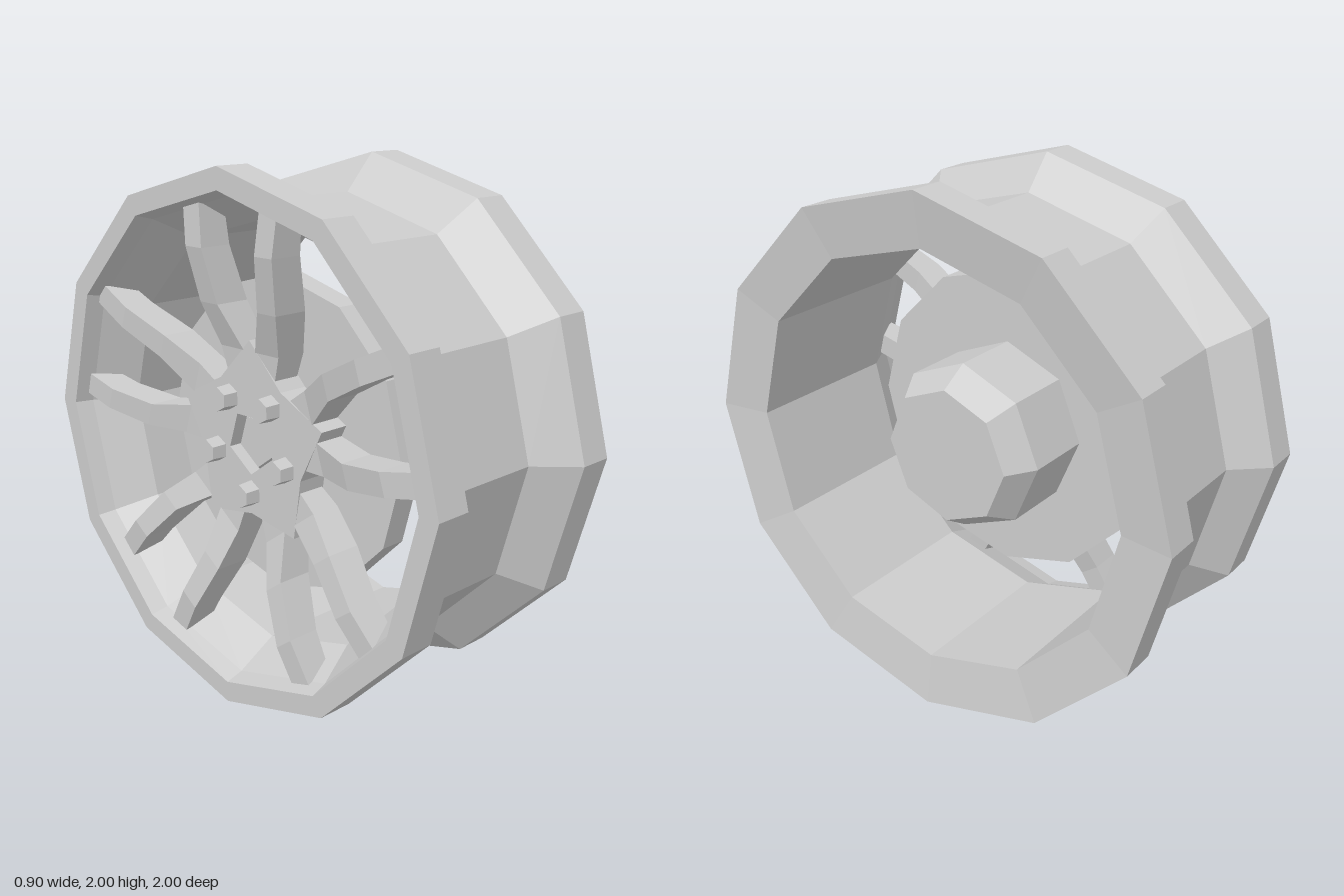
import * as THREE from 'three';

const mat = new THREE.MeshStandardMaterial({ color: 0xcccccc, flatShading: true });

function add(parent, name, geometry) {
  const mesh = new THREE.Mesh(geometry, mat);
  mesh.name = name;
  parent.add(mesh);
  return mesh;
}

// Revolve [x, radius] points around the x axis
function revolve(points, sides) {
  const geo = new THREE.LatheGeometry(points.map(([x, r]) => new THREE.Vector2(r, x)), sides);
  return geo.rotateZ(-Math.PI / 2);
}

// One arm of a forked spoke, lofted outward along +y; front is +z.
// Sections: [sideways offset, radius, front z, depth, half width]
function spokeGeometry(side) {
  const sections = [
    [0.05, 0.20, 0.305, 0.10, 0.06],
    [0.09, 0.34, 0.315, 0.12, 0.06],
    [0.15, 0.50, 0.37, 0.14, 0.046],
    [0.18, 0.70, 0.41, 0.13, 0.043],
    [0.20, 0.875, 0.40, 0.11, 0.043],
  ];
  const pos = [], idx = [];
  sections.forEach(([t, r, f, d, w], i) => {
    const c = t * side;
    pos.push(c - w, r, f - d, c + w, r, f - d, c + w, r, f, c - w, r, f);
    if (i === 0) return;
    for (let j = 0; j < 4; j++) {
      const a = (i - 1) * 4 + j, b = (i - 1) * 4 + (j + 1) % 4;
      idx.push(a, a + 4, b + 4, a, b + 4, b);
    }
  });
  const geo = new THREE.BufferGeometry();
  geo.setAttribute('position', new THREE.Float32BufferAttribute(pos, 3));
  geo.setIndex(idx);
  geo.computeVertexNormals();
  return geo;
}

export function createModel() {
  const wheel = new THREE.Group();
  wheel.name = 'wheelRim';
  const body = new THREE.Group();
  body.name = 'wheelBody';
  body.position.y = 1;
  wheel.add(body);

  // Rim: closed profile, outside from outer lip to inner lip, then back along the inside
  add(body, 'rim', revolve([
    [-0.45, 0.99], [-0.31, 0.99], [-0.195, 0.862], [0.18, 0.862], [0.31, 1], [0.45, 1],
    [0.42, 0.8], [-0.22, 0.8], [-0.38, 0.89], [-0.45, 0.91], [-0.45, 0.99],
  ], 12));

  // Brake disc and the hub drum behind it
  add(body, 'brakeDisc', revolve([[-0.17, 0], [-0.17, 0.6], [-0.07, 0.6], [-0.07, 0]], 12));
  add(body, 'hubDrum', revolve([[-0.08, 0.328], [0.2, 0.328], [0.31, 0.26], [0.31, 0]], 8));
  add(body, 'hubStem', revolve([[-0.22, 0.2], [-0.15, 0.2]], 10));

  // Outer face of the wheel, built facing +z and turned to face -x
  const face = new THREE.Group();
  face.name = 'wheelFace';
  face.rotation.y = -Math.PI / 2;
  body.add(face);

  // Star-shaped hub plate with a recessed centre
  const star = new THREE.Shape();
  const hole = new THREE.Path();
  const at = (r, a) => new THREE.Vector2(r * Math.cos(a), r * Math.sin(a));
  const starPts = [], holePts = [];
  for (let i = 0; i < 10; i++) {
    const a = Math.PI / 2 + i * Math.PI / 5;
    starPts.push(at(i % 2 ? 0.27 : 0.38, a));
    if (i % 2) holePts.push(at(0.12, a));
  }
  star.setFromPoints(starPts);
  hole.setFromPoints(holePts);
  star.holes.push(hole);
  add(face, 'hubPlate', new THREE.ExtrudeGeometry(star, { depth: 0.12, bevelEnabled: false }))
    .position.z = 0.195;
  add(face, 'centreCap', new THREE.CylinderGeometry(0.1, 0.15, 0.06, 5).rotateX(Math.PI / 2))
    .position.z = 0.25;

  // Five forked spokes with wheel nuts between them
  for (let i = 0; i < 5; i++) {
    const turn = i * Math.PI * 2 / 5;
    for (const side of [-1, 1]) {
      add(face, 'spoke', spokeGeometry(side)).rotation.z = turn;
    }
    const p = at(0.19, Math.PI / 2 + turn + Math.PI / 5);
    add(face, 'wheelNut', new THREE.CylinderGeometry(0.045, 0.05, 0.08, 6).rotateX(Math.PI / 2))
      .position.set(p.x, p.y, 0.335);
  }
  return wheel;
}
